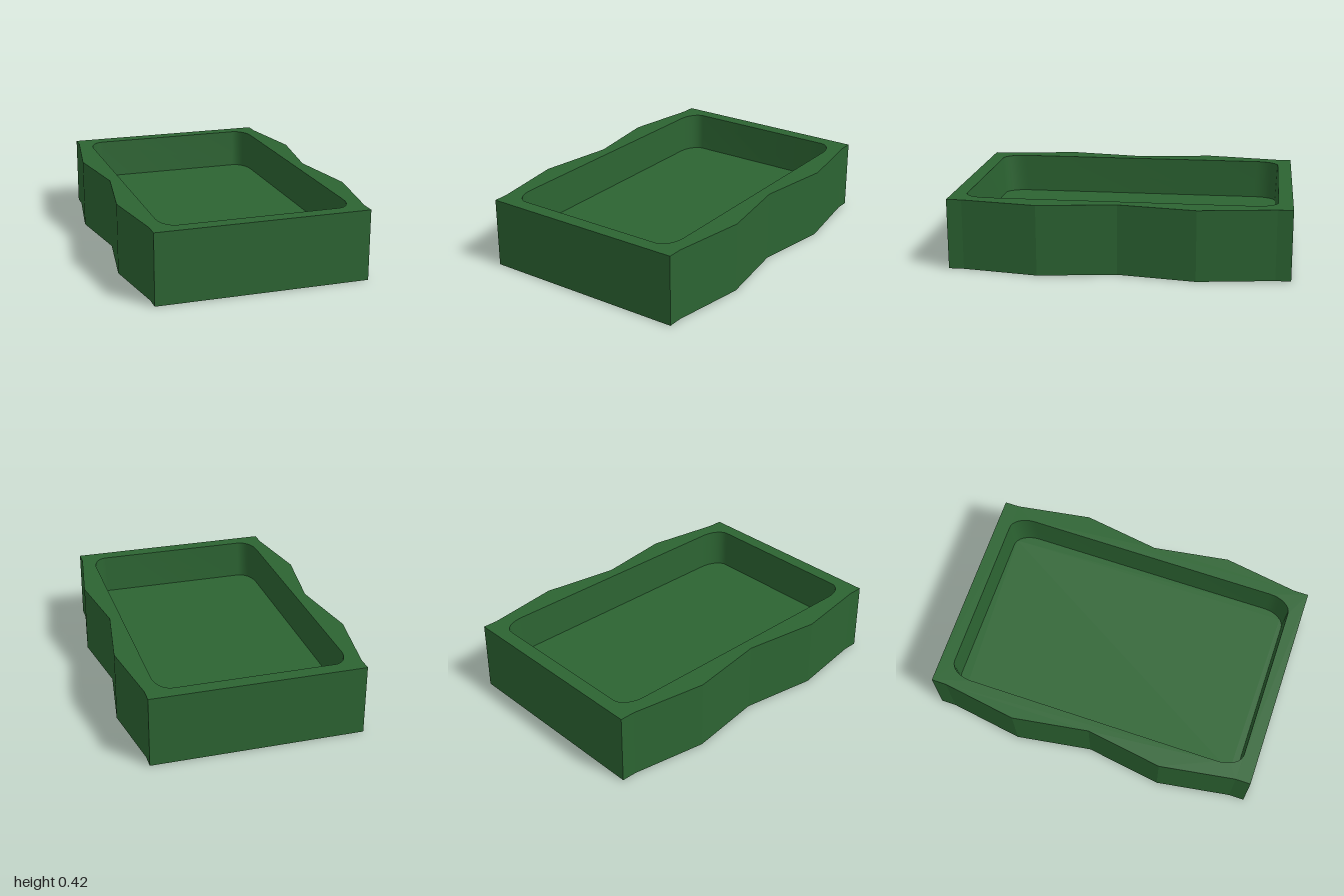
import * as THREE from 'three';
import { toCreasedNormals } from 'three/addons/utils/BufferGeometryUtils.js';

const HEIGHT = 0.42, FLOOR = 0.18;

// Plan outline, counter-clockwise: straight ends, two shallow bulges per side
function outlinePoints() {
  const side = [[0.63, -1], [0.63, -0.91], [0.7, -0.46], [0.63, 0], [0.7, 0.46], [0.63, 0.91], [0.63, 1]];
  const right = side.map(([x, z]) => new THREE.Vector2(x, z));
  const left = side.map(([x, z]) => new THREE.Vector2(-x, -z));
  return [...right, ...left];
}

// Rounded rectangle with elliptical corners, counter-clockwise
function cavityPoints(halfX, halfZ, rx = 0.09, rz = 0.14, steps = 8) {
  const pts = [];
  [[1, 1], [-1, 1], [-1, -1], [1, -1]].forEach(([sx, sz], corner) => {
    for (let i = 0; i <= steps; i++) {
      const a = (corner + i / steps) * Math.PI / 2;
      pts.push(new THREE.Vector2(
        sx * (halfX - rx) + rx * Math.cos(a),
        sz * (halfZ - rz) + rz * Math.sin(a)));
    }
  });
  return pts;
}

// Strip of quads between a lower and an upper loop, facing outward or inward
function wallGeometry(lower, y0, upper, y1, inward = false) {
  const pos = [], n = lower.length;
  const at = (p, y) => [p.x, y, -p.y];
  for (let i = 0; i < n; i++) {
    const j = (i + 1) % n;
    const a = at(lower[i], y0), b = at(lower[j], y0), c = at(upper[j], y1), d = at(upper[i], y1);
    pos.push(...(inward ? [a, c, b, a, d, c] : [a, b, c, a, c, d]).flat());
  }
  const geo = new THREE.BufferGeometry();
  geo.setAttribute('position', new THREE.Float32BufferAttribute(pos, 3));
  geo.computeVertexNormals();
  return geo;
}

// Flat horizontal face, optionally with an opening
function flatGeometry(points, y, { hole, down = false } = {}) {
  const shape = new THREE.Shape(points);
  if (hole) shape.holes.push(new THREE.Path(hole));
  const geo = new THREE.ShapeGeometry(shape);
  geo.rotateX(down ? Math.PI / 2 : -Math.PI / 2);
  return geo.translate(0, y, 0);
}

export function createModel() {
  const model = new THREE.Group();
  model.name = 'tray';
  const green = new THREE.MeshStandardMaterial({ color: 0x2c6432 });
  const add = (name, geo) => {
    const mesh = new THREE.Mesh(geo, green);
    mesh.name = name;
    model.add(mesh);
  };

  const outline = outlinePoints();
  const opening = cavityPoints(0.56, 0.915);
  const floor = cavityPoints(0.558, 0.905); // slight draft toward the floor

  add('outerWall', wallGeometry(outline, 0, outline, HEIGHT));
  add('base', flatGeometry(outline, 0, { down: true }));
  add('rim', flatGeometry(outline, HEIGHT, { hole: opening }));
  add('cavityWall', toCreasedNormals(wallGeometry(floor, FLOOR, opening, HEIGHT, true), 0.5));
  add('cavityFloor', flatGeometry(floor, FLOOR));
  return model;
}
